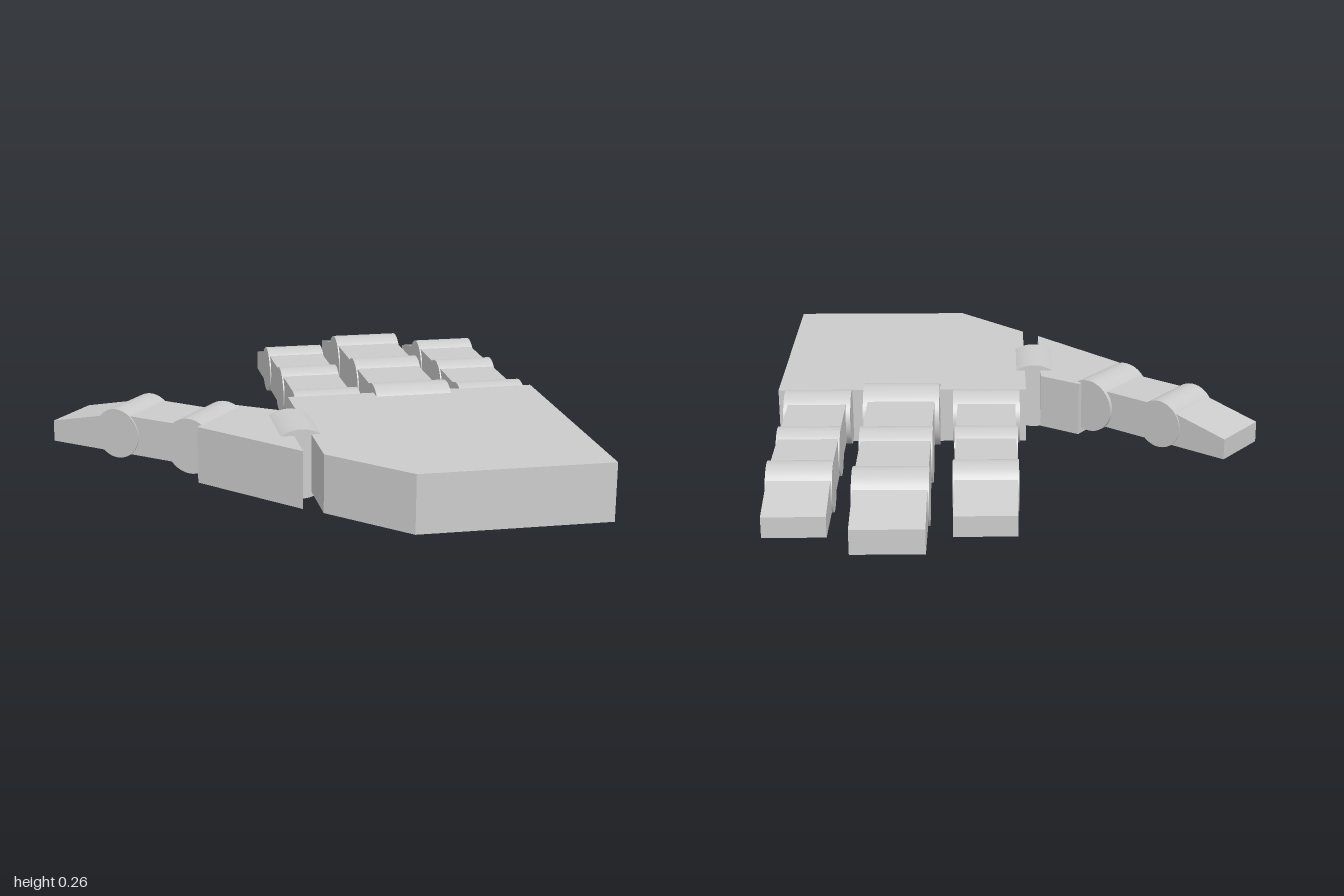
import * as THREE from 'three';

const material = new THREE.MeshStandardMaterial({ color: 0xcccccc });

function part(name, geometry) {
  const mesh = new THREE.Mesh(geometry, material);
  mesh.name = name;
  return mesh;
}

function prism(points, depth) {
  const shape = new THREE.Shape(points.map(([a, b]) => new THREE.Vector2(a, b)));
  return new THREE.ExtrudeGeometry(shape, { depth, bevelEnabled: false });
}

// Flat plate from an [x, z] outline
function plate(name, outline, y0, y1) {
  const g = prism(outline.map(([x, z]) => [x, -z]), y1 - y0);
  return part(name, g.rotateX(-Math.PI / 2).translate(0, y0, 0));
}

// Bone from a [forward, y] side profile, forward being -z
function bone(name, profile, width) {
  const g = prism(profile, width).translate(0, 0, -width / 2);
  return part(name, g.rotateY(Math.PI / 2));
}

// Hinge barrel lying along x
function barrel(name, radius, width, y, forward) {
  const g = new THREE.CylinderGeometry(radius, radius, width, 48);
  return part(name, g.rotateZ(Math.PI / 2).translate(0, y, -forward));
}

// Knuckle, two straight bones, a wedge tip and two joints, starting at the knuckle axis
function finger(name, o) {
  const group = new THREE.Group();
  group.name = name;
  const { width, bottom, top, tipTop, joints, length, jointRadius } = o;
  const stops = [0, ...joints];
  stops.forEach((start, i) => {
    const last = i === stops.length - 1;
    const end = last ? length : stops[i + 1];
    const endTop = last ? tipTop : top;
    group.add(bone(last ? 'fingertip' : 'phalanx' + (i + 1),
      [[start, bottom], [end, bottom], [end, endTop], [start, top]], width));
  });
  group.add(barrel('knuckle', o.knuckleRadius, o.knuckleWidth, o.knuckleY, 0));
  joints.forEach((u, i) =>
    group.add(barrel('joint' + (i + 1), jointRadius, width + 0.01, (bottom + top) / 2, u)));
  return group;
}

export function createModel() {
  const hand = new THREE.Group();
  hand.name = 'hand';

  hand.add(plate('palm',
    [[-0.04, 0.07], [-0.04, 0.75], [0.21, 1], [0.88, 1], [0.88, 0.07]], 0.025, 0.23));

  // Two matching outer fingers
  [['innerFinger', 0.107], ['outerFinger', 0.728]].forEach(([name, x]) => {
    const f = finger(name, {
      width: 0.212, bottom: 0.077, top: 0.213, tipTop: 0.15,
      joints: [0.35, 0.66], length: 0.92, jointRadius: 0.088,
      knuckleRadius: 0.1, knuckleWidth: 0.245, knuckleY: 0.14,
    });
    f.position.set(x, 0, 0.03);
    hand.add(f);
  });

  // Larger middle finger
  const middle = finger('middleFinger', {
    width: 0.245, bottom: 0.068, top: 0.222, tipTop: 0.155,
    joints: [0.405, 0.765], length: 1.05, jointRadius: 0.1,
    knuckleRadius: 0.115, knuckleWidth: 0.28, knuckleY: 0.142,
  });
  middle.position.set(0.42, 0, 0.05);
  hand.add(middle);

  // Thumb hinge, base and digit
  const hinge = part('thumbHinge', new THREE.CylinderGeometry(0.125, 0.125, 0.25, 48));
  hinge.rotation.x = Math.PI / 2;
  hinge.position.set(-0.075, 0.125, 0.405);
  hand.add(hinge);
  hand.add(plate('thumbBase',
    [[-0.1, 0.22], [-0.24, 0.13], [-0.41, 0.37], [-0.1, 0.7]], 0.025, 0.228));

  const thumb = finger('thumb', {
    width: 0.222, bottom: 0.07, top: 0.212, tipTop: 0.147,
    joints: [0.31], length: 0.59, jointRadius: 0.09,
    knuckleRadius: 0.1, knuckleWidth: 0.25, knuckleY: 0.143,
  });
  thumb.position.set(-0.355, 0, 0.222);
  thumb.rotation.y = 0.895;
  hand.add(thumb);

  return hand;
}
